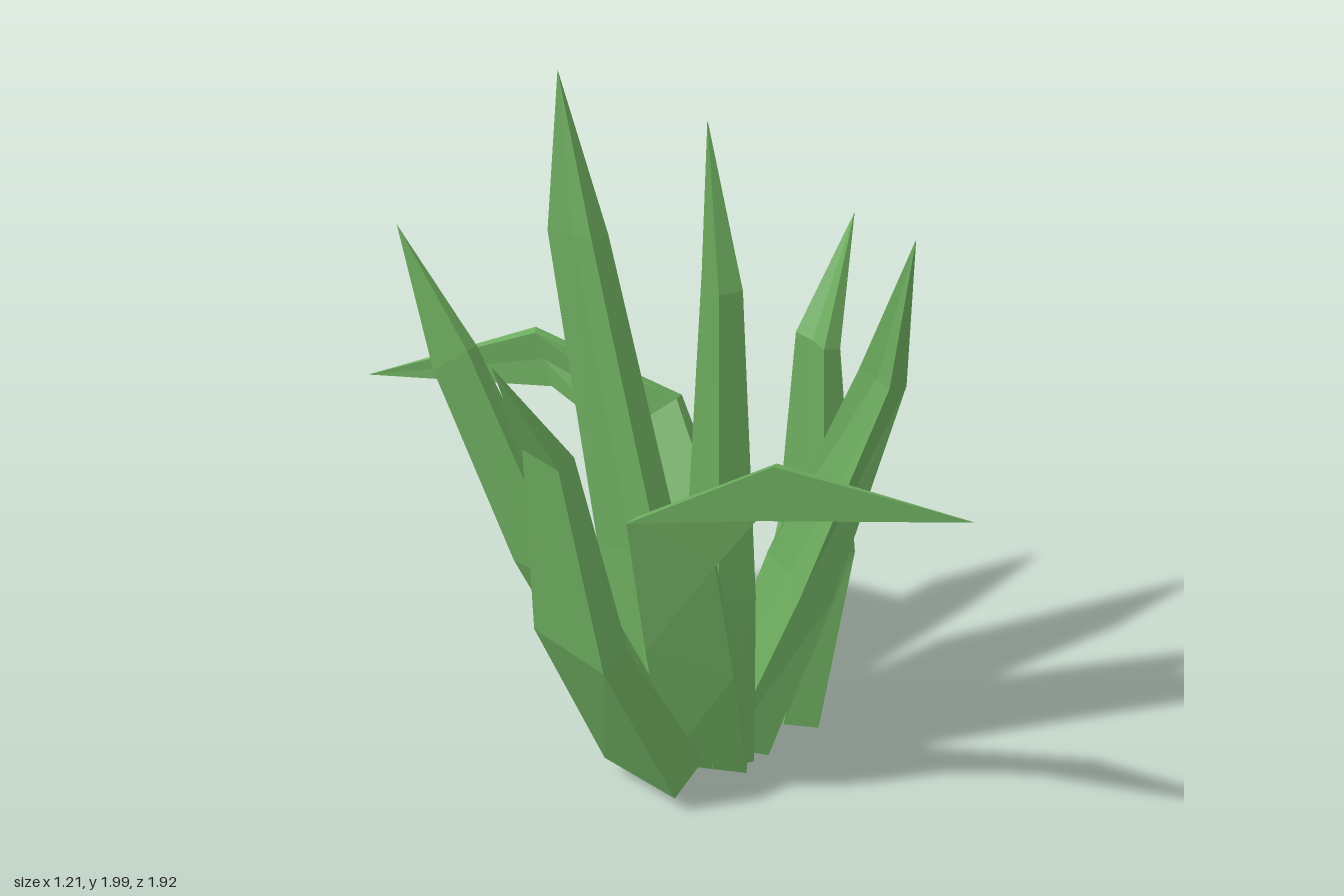
import * as THREE from 'three';

const material = new THREE.MeshStandardMaterial({ color: 0x6cab5e, flatShading: true });

// One fleshy leaf: flat outer face, narrow sides, shallow channel inside, pointed tip.
// Row = outer face centre (x, y, z), half-width vector (x, y, z), thickness.
function makeLeaf(name, tip, rows) {
  const tipPoint = new THREE.Vector3(...tip);
  const centres = rows.map(([x, y, z]) => new THREE.Vector3(x, y, z));
  centres.push(tipPoint);
  const points = [];
  const index = [];
  const sides = 5;

  rows.forEach((row, r) => {
    const half = new THREE.Vector3(row[3], row[4], row[5]);
    const along = centres[r + 1].clone().sub(centres[Math.max(r - 1, 0)]);
    const inward = half.clone().cross(along).normalize().multiplyScalar(row[6]);
    // [across, inward] corners of the cross-section
    [[1, 0], [-1, 0], [-0.9, 1], [0, 0.8], [0.9, 1]].forEach(([a, d]) => {
      points.push(centres[r].clone().addScaledVector(half, a).addScaledVector(inward, d));
    });
  });
  points.push(tipPoint);

  const last = (rows.length - 1) * sides;
  for (let i = 0; i < sides; i++) {
    const j = (i + 1) % sides;
    for (let b = 0; b < last; b += sides) {
      index.push(b + i, b + j, b + sides + j, b + i, b + sides + j, b + sides + i);
    }
    index.push(last + i, last + j, points.length - 1);
  }
  // Base cap, fanned from the channel corner
  index.push(3, 2, 1, 3, 1, 0, 3, 0, 4);

  const geometry = new THREE.BufferGeometry().setFromPoints(points);
  geometry.setIndex(index);
  const flat = geometry.toNonIndexed();
  flat.computeVertexNormals();
  const mesh = new THREE.Mesh(flat, material);
  mesh.name = name;
  return mesh;
}

export function createModel() {
  const plant = new THREE.Group();
  plant.name = 'succulentPlant';

  plant.add(
    // Upright leaves
    makeLeaf('tallCentreLeaf', [-0.04, 2.0, 0.18], [
      [0.1, 0.08, 0.14, -0.03, 0, 0.13, 0.12],
      [0.08, 0.65, 0.16, -0.03, 0, 0.13, 0.1],
      [0.02, 1.57, 0.21, -0.02, 0, 0.07, 0.06],
    ]),
    makeLeaf('tallBackLeaf', [-0.04, 1.9, -0.5], [
      [-0.01, 0.04, -0.03, 0.05, 0, 0.1, 0.12],
      [0.01, 0.6, -0.17, 0.05, 0, 0.1, 0.1],
      [-0.02, 1.47, -0.42, 0.033, 0, 0.07, 0.07],
    ]),
    makeLeaf('frontLeftLeaf', [0.36, 1.7, 0.5], [
      [0.17, 0.08, 0.15, -0.05, 0, 0.12, 0.12],
      [0.29, 0.6, 0.23, -0.035, 0, 0.13, 0.09],
      [0.38, 1.27, 0.4, 0, 0, 0.07, 0.05],
    ]),
    makeLeaf('backRightLeaf', [-0.48, 1.53, -0.61], [
      [-0.12, 0.03, -0.04, -0.01, 0, -0.1, 0.11],
      [-0.32, 0.6, -0.19, -0.03, 0, -0.1, 0.08],
      [-0.44, 1.19, -0.43, -0.02, -0.05, -0.06, 0.045],
    ]),
    // Spreading side leaves
    makeLeaf('leftLeaf', [0.6, 1.5, -0.04], [
      [0.28, 0.1, 0.17, -0.01, 0.03, 0.13, 0.11],
      [0.48, 0.57, 0.05, 0, 0, 0.12, 0.1],
      [0.48, 1.17, 0, 0, 0, 0.07, 0.05],
    ]),
    makeLeaf('rightLeaf', [-0.61, 1.46, 0.09], [
      [-0.22, 0.06, 0.13, -0.03, 0, -0.13, 0.14],
      [-0.42, 0.55, 0.1, -0.02, 0, -0.14, 0.1],
      [-0.47, 1.14, 0.07, -0.01, 0, -0.07, 0.06],
    ]),
    // Leaves that fold over and twist
    makeLeaf('bentFrontLeaf', [0.2, 1.18, 0.96], [
      [-0.05, 0.07, 0.21, -0.08, 0, -0.08, 0.1],
      [-0.15, 0.5, 0.27, -0.08, 0.02, -0.09, 0.08],
      [-0.23, 0.92, 0.3, -0.075, 0.045, -0.09, 0.035],
      [-0.1, 1.14, 0.52, 0.01, 0.085, 0.02, 0.03],
    ]),
    makeLeaf('bentBackLeaf', [-0.42, 0.9, -0.96], [
      [0.135, 0.04, -0.05, 0.13, 0.03, 0.065, 0.1],
      [0.17, 0.52, -0.2, 0.1, 0.02, 0.1, 0.08],
      [0.18, 0.83, -0.41, 0.085, 0.06, 0.04, 0.05],
      [-0.02, 0.98, -0.64, -0.01, 0.085, -0.03, 0.03],
    ]),
  );
  return plant;
}
